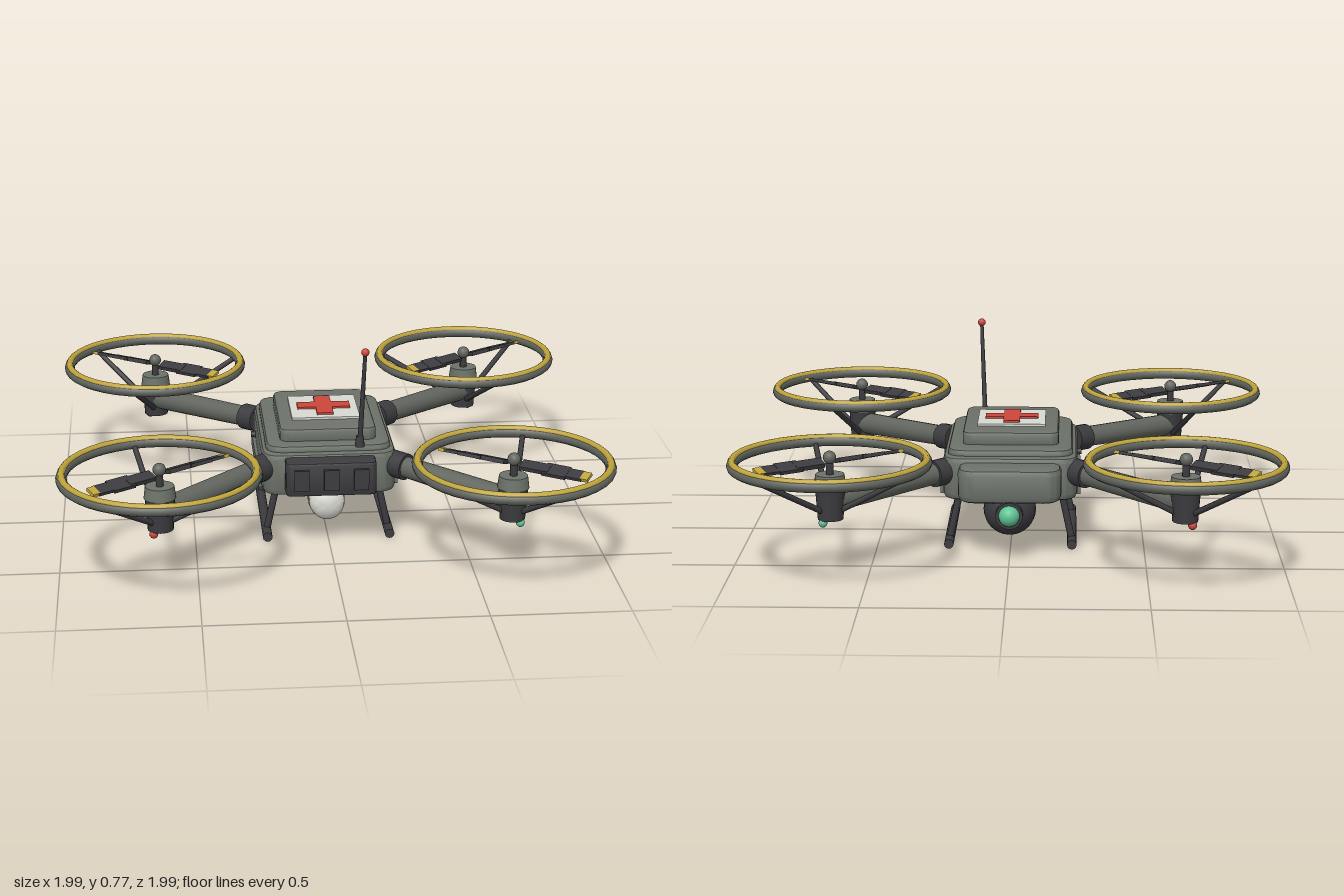
import * as THREE from 'three';
import { toCreasedNormals } from 'three/addons/utils/BufferGeometryUtils.js';

const paint = (name, color) => Object.assign(new THREE.MeshStandardMaterial({ color }), { name });
const M = {
  hull: paint('hullGrey', 0x6c726a),
  frame: paint('frameGrey', 0x62665f),
  dark: paint('darkPlastic', 0x3c3c40),
  gold: paint('gold', 0xc0a53c),
  red: paint('red', 0xcb463c),
  white: paint('white', 0xd9d9d3),
  green: paint('green', 0x5fc493),
};
const V = (x, y, z) => new THREE.Vector3(x, y, z);

function add(parent, name, geo, mat, x = 0, y = 0, z = 0) {
  const mesh = new THREE.Mesh(geo, mat);
  mesh.name = name;
  mesh.position.set(x, y, z);
  parent.add(mesh);
  return mesh;
}

// Rounded, bevelled slab standing on y = 0
function slab(w, h, d, r, b) {
  const x = w / 2 - b, y = d / 2 - b;
  const s = new THREE.Shape();
  s.moveTo(-x + r, -y);
  s.lineTo(x - r, -y).quadraticCurveTo(x, -y, x, -y + r);
  s.lineTo(x, y - r).quadraticCurveTo(x, y, x - r, y);
  s.lineTo(-x + r, y).quadraticCurveTo(-x, y, -x, y - r);
  s.lineTo(-x, -y + r).quadraticCurveTo(-x, -y, -x + r, -y);
  const g = new THREE.ExtrudeGeometry(s, {
    depth: h - 2 * b, bevelSize: b, bevelThickness: b, bevelSegments: 2, curveSegments: 4,
  });
  g.translate(0, 0, b).rotateX(-Math.PI / 2);
  return toCreasedNormals(g, 0.5);
}

// Tapered rod between two points
function rod(parent, name, a, b, r0, r1, mat, sides = 12) {
  const dir = b.clone().sub(a);
  const mesh = add(parent, name, new THREE.CylinderGeometry(r1, r0, dir.length(), sides), mat);
  mesh.position.copy(a).addScaledVector(dir, 0.5);
  mesh.quaternion.setFromUnitVectors(V(0, 1, 0), dir.normalize());
  return mesh;
}

// Motor, propeller, guard ring and light around the origin
function makeRotor(sx, sz) {
  const g = new THREE.Group();
  g.name = 'rotor';
  add(g, 'motorBase', new THREE.CylinderGeometry(0.054, 0.046, 0.12, 20), M.dark, 0, 0.275, 0);
  add(g, 'motorCap', new THREE.CylinderGeometry(0.052, 0.058, 0.045, 20), M.hull, 0, 0.357, 0);
  add(g, 'shaft', new THREE.CylinderGeometry(0.014, 0.014, 0.08, 10), M.dark, 0, 0.41, 0);
  add(g, 'hubCap', new THREE.SphereGeometry(0.024, 14, 10), M.frame, 0, 0.44, 0);
  add(g, 'navigationLight', new THREE.SphereGeometry(0.016, 12, 8),
    sx > 0 ? M.green : M.red, sx * 0.025, 0.206, sz * 0.025);

  // Guard ring with a gold upper edge
  for (const [name, tube, y, mat] of [['guardRing', 0.02, 0.42, M.frame], ['guardTrim', 0.013, 0.433, M.gold]]) {
    add(g, name, new THREE.TorusGeometry(0.345, tube, 10, 40).rotateX(Math.PI / 2), mat, 0, y, 0);
  }
  const out = Math.atan2(sz, sx);
  for (let i = 0; i < 3; i++) {
    const a = out + i * Math.PI * 2 / 3, c = Math.cos(a), s = Math.sin(a);
    rod(g, 'guardStrut', V(c * 0.04, 0.25, s * 0.04), V(c * 0.335, 0.412, s * 0.335), 0.011, 0.01, M.dark, 8);
  }

  // Two pitched blades
  const prop = new THREE.Group();
  prop.name = 'propeller';
  prop.position.y = 0.425;
  prop.rotation.y = -Math.atan2(0.57 * sz, 0.82 * sx);
  for (const turn of [0, Math.PI]) {
    const blade = new THREE.Group();
    blade.name = 'blade';
    blade.rotation.set(0.3 * sx * sz, turn, 0, 'YXZ');
    add(blade, 'bladeRoot', new THREE.BoxGeometry(0.11, 0.016, 0.046), M.dark, 0.085, 0, 0);
    add(blade, 'bladeMiddle', new THREE.BoxGeometry(0.09, 0.013, 0.062), M.dark, 0.165, 0, 0);
    add(blade, 'bladeOuter', new THREE.BoxGeometry(0.07, 0.011, 0.05), M.dark, 0.235, 0, 0);
    add(blade, 'bladeTip', new THREE.BoxGeometry(0.03, 0.012, 0.044), M.gold, 0.278, 0, 0);
    prop.add(blade);
  }
  g.add(prop);
  return g;
}

export function createModel() {
  const model = new THREE.Group();
  model.name = 'rescueDrone';

  // Hull and roof
  add(model, 'hull', slab(0.5, 0.165, 0.635, 0.05, 0.022), M.hull, 0, 0.2, 0);
  add(model, 'upperHull', slab(0.465, 0.045, 0.59, 0.05, 0.018), M.hull, 0, 0.345, 0);
  add(model, 'roofHatch', slab(0.36, 0.06, 0.46, 0.025, 0.014), M.hull, 0, 0.378, 0.015);
  add(model, 'tailHousing', slab(0.38, 0.13, 0.2, 0.04, 0.025), M.hull, 0, 0.215, -0.33);
  add(model, 'roofPlate', new THREE.BoxGeometry(0.256, 0.009, 0.256), M.white, 0, 0.442, 0.015);
  add(model, 'crossBar', new THREE.BoxGeometry(0.2, 0.008, 0.062), M.red, 0, 0.45, 0.013);
  for (const s of [-1, 1]) {
    add(model, 'crossArm', new THREE.BoxGeometry(0.062, 0.008, 0.069), M.red, 0, 0.45, 0.013 + s * 0.0655);
  }

  // Front battery with ribs
  add(model, 'frontBattery', slab(0.335, 0.13, 0.11, 0.012, 0.01), M.dark, 0, 0.222, 0.33);
  for (const x of [-0.11, 0, 0.11]) {
    add(model, 'batteryRib', new THREE.BoxGeometry(0.055, 0.08, 0.02), M.dark, x, 0.288, 0.387);
  }

  // Sides: rails, screws and landing skids
  for (const s of [-1, 1]) {
    add(model, 'sideRail', new THREE.BoxGeometry(0.02, 0.055, 0.46), M.hull, s * 0.252, 0.235, 0);
    for (const z of [-0.17, 0.17]) {
      add(model, 'sideScrew', new THREE.CylinderGeometry(0.012, 0.012, 0.02, 12).rotateZ(Math.PI / 2),
        M.dark, s * 0.257, 0.275, z);
    }
    for (const z of [-0.19, 0.195]) {
      rod(model, 'skidLeg', V(s * 0.187, 0.22, z), V(s * 0.23, 0.02, z), 0.013, 0.013, M.dark);
    }
    rod(model, 'skid', V(s * 0.23, 0.019, -0.265), V(s * 0.23, 0.019, 0.268), 0.018, 0.018, M.dark);
  }

  // Arms and rotors
  for (const sx of [-1, 1]) for (const sz of [-1, 1]) {
    rod(model, 'armCollar', V(sx * 0.235, 0.303, sz * 0.265), V(sx * 0.285, 0.301, sz * 0.312), 0.05, 0.05, M.dark, 16);
    rod(model, 'arm', V(sx * 0.25, 0.303, sz * 0.28), V(sx * 0.62, 0.282, sz * 0.62), 0.039, 0.043, M.frame, 16);
    const rotor = makeRotor(sx, sz);
    rotor.position.set(sx * 0.631, 0, sz * 0.631);
    model.add(rotor);
  }

  // Supply canister slung under the hull
  const can = new THREE.Group();
  can.name = 'canister';
  can.position.y = 0.123;
  const profile = [[0, -0.15], [0.045, -0.15], [0.062, -0.138], [0.067, -0.12], [0.067, 0.185],
    [0.062, 0.208], [0.045, 0.225], [0.022, 0.233], [0, 0.235]].map(p => new THREE.Vector2(...p));
  add(can, 'canisterShell', toCreasedNormals(new THREE.LatheGeometry(profile, 28).rotateX(Math.PI / 2), 0.7), M.white);
  for (const [z, w, r, mat] of [[0.14, 0.025, 0.07, M.gold], [0.034, 0.042, 0.071, M.red], [-0.08, 0.025, 0.07, M.gold]]) {
    add(can, 'canisterBand', new THREE.CylinderGeometry(r, r, w, 28).rotateX(Math.PI / 2), mat, 0, 0, z);
  }
  add(can, 'canisterValve', new THREE.CylinderGeometry(0.018, 0.018, 0.06, 12).rotateX(Math.PI / 2), M.dark, 0, 0, -0.175);
  for (const z of [0.12, -0.08]) {
    add(can, 'canisterClamp', new THREE.BoxGeometry(0.1, 0.05, 0.042), M.dark, 0, 0.057, z);
  }
  model.add(can);

  // Rear camera ball with lens
  add(model, 'cameraMount', new THREE.CylinderGeometry(0.07, 0.06, 0.05, 20), M.dark, 0, 0.235, -0.325);
  add(model, 'cameraBall', new THREE.SphereGeometry(0.097, 24, 16), M.dark, 0, 0.175, -0.325);
  add(model, 'lensRing', new THREE.CylinderGeometry(0.05, 0.05, 0.035, 20).rotateX(Math.PI / 2), M.dark, 0, 0.175, -0.42);
  add(model, 'lens', new THREE.SphereGeometry(0.039, 20, 14), M.green, 0, 0.175, -0.435);

  // Antenna
  add(model, 'antennaBase', new THREE.CylinderGeometry(0.014, 0.018, 0.04, 12), M.dark, 0.113, 0.4, 0.285);
  rod(model, 'antenna', V(0.113, 0.39, 0.285), V(0.127, 0.752, 0.327), 0.01, 0.007, M.dark, 10);
  add(model, 'antennaTip', new THREE.SphereGeometry(0.015, 12, 10), M.red, 0.127, 0.756, 0.327);
  return model;
}
